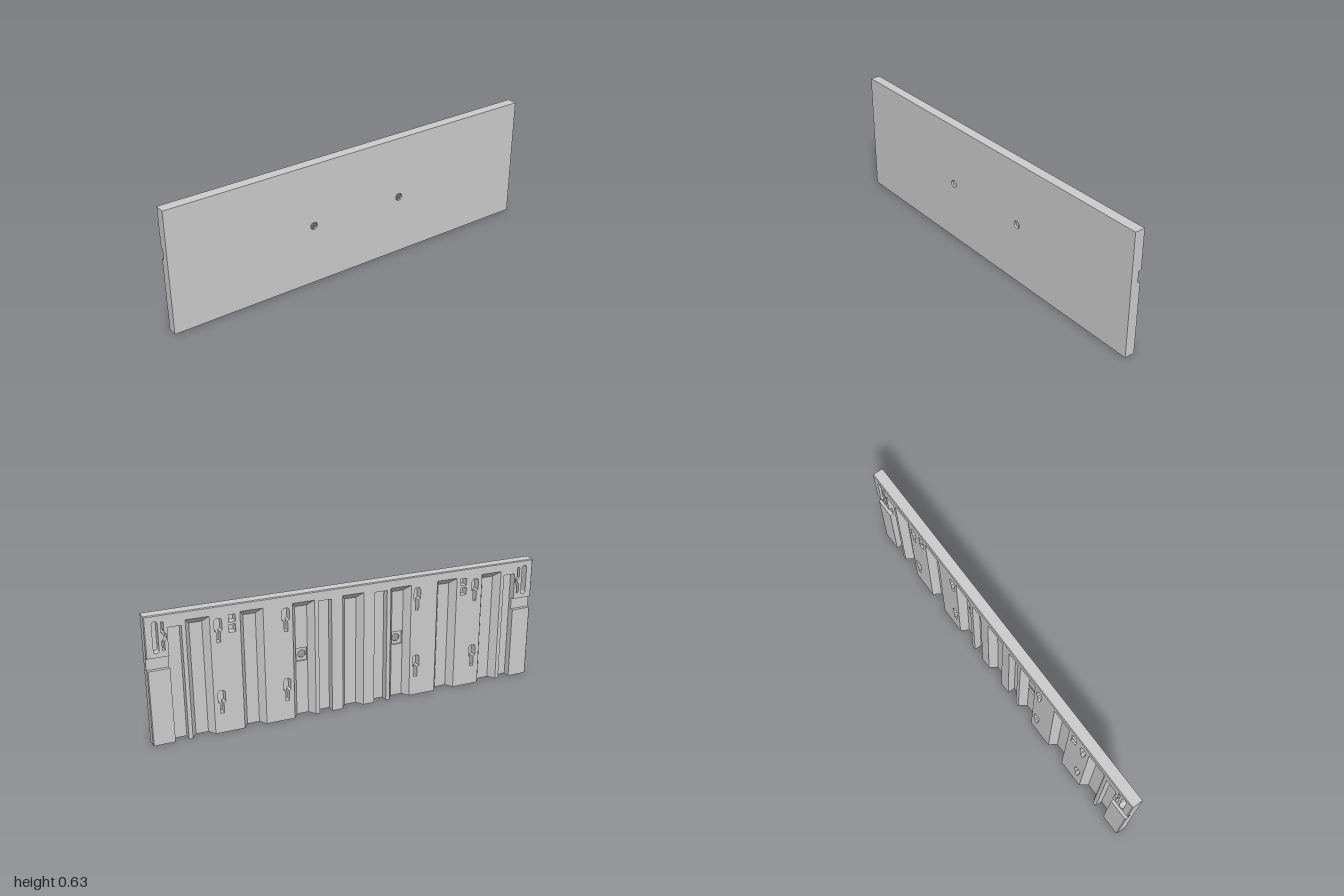
import * as THREE from 'three';

const H = 0.63, FRONT = 0.028, BACK = -0.028, FLOOR = 0.01, POCKET = 0.018;
const PITCH = 0.253, HALF = 0.055, CHANNEL_TOP = 0.588;
const NOTCH = [0.37, 0.43], PAD = 0.896;
const material = new THREE.MeshStandardMaterial({ color: 0xcccccc, flatShading: true });
const V = (x, y) => new THREE.Vector2(x, y);
const rect = (x0, y0, x1, y1) => [V(x0, y0), V(x1, y0), V(x1, y1), V(x0, y1)];
const mirror = pts => pts.map(p => V(-p.x, p.y)).reverse();

function shapeOf(outline, holes = []) {
  const s = new THREE.Shape(outline);
  s.holes = holes.map(h => new THREE.Path(h));
  return s;
}

// Flat layer between two depths, with an optional rule that moves its vertices
function layer(name, shapes, zBack, zFront, rule) {
  const g = new THREE.ExtrudeGeometry(shapes, { depth: zFront - zBack, bevelEnabled: false, curveSegments: 16 });
  g.translate(0, 0, zBack);
  if (rule) {
    const p = g.attributes.position, v = new THREE.Vector3();
    for (let i = 0; i < p.count; i++) {
      rule(v.fromBufferAttribute(p, i));
      p.setXYZ(i, v.x, v.y, v.z);
    }
    g.computeVertexNormals();
  }
  const m = new THREE.Mesh(g, material);
  m.name = name;
  return m;
}

// Slopes the channel walls inward with depth and chamfers the outer back edge
function shapeWalls(v) {
  const x = v.x, y = v.y, t = (v.z - BACK) / (FLOOR - BACK);
  const c = Math.round(x / PITCH) * PITCH;
  if (Math.abs(c) < 0.8 && Math.abs(Math.abs(x - c) - HALF) < 0.002) {
    v.x -= Math.sign(x - c) * 0.025 * t;
    if (Math.abs(y - CHANNEL_TOP) < 0.001) v.y -= 0.032 * t;
  }
  if (v.z < BACK + 0.001) {
    if (Math.abs(x) > 0.999) v.x -= Math.sign(x) * 0.004;
    if (y > H - 0.001) v.y -= 0.004;
  }
}

// Keyhole: wide head over a narrow tail
function keyhole(x, top) {
  return [V(x - 0.009, top - 0.115), V(x + 0.009, top - 0.115), V(x + 0.009, top - 0.065),
    V(x + 0.018, top - 0.058), V(x + 0.018, top - 0.008), V(x + 0.01, top),
    V(x - 0.01, top), V(x - 0.018, top - 0.008), V(x - 0.018, top - 0.058), V(x - 0.009, top - 0.065)];
}

// Vertical slot with round ends
function roundSlot(x, y0, y1, r) {
  const pts = [];
  for (let i = 0; i <= 8; i++) pts.push(V(x + r * Math.cos(Math.PI * i / 8), y1 - r + r * Math.sin(Math.PI * i / 8)));
  for (let i = 0; i <= 8; i++) pts.push(V(x - r * Math.cos(Math.PI * i / 8), y0 + r - r * Math.sin(Math.PI * i / 8)));
  return pts;
}

function circle(x, y, r) {
  return new THREE.Path().absarc(x, y, r, 0, Math.PI * 2).getPoints(12).slice(0, -1);
}

export function createModel() {
  const group = new THREE.Group();
  group.name = 'panel';

  // Front plate with two through holes, and square pockets behind them
  const plate = rect(-1, 0, 1, H);
  const sides = [-1, 1];
  group.add(layer('frontPlate', shapeOf(plate, sides.map(s => circle(s * 0.25, 0.31, 0.019))), POCKET, FRONT));
  group.add(layer('pocketPlate', shapeOf(plate,
    sides.map(s => rect(s * 0.253 - 0.027, 0.277, s * 0.253 + 0.027, 0.343))), FLOOR, POCKET));

  // Recesses open at the bottom: [centre, half width, top]
  const recesses = [[-0.145, 0.033, 0.58], [0.145, 0.033, 0.58]];
  for (let k = -3; k <= 3; k++) recesses.push([k * PITCH, HALF, CHANNEL_TOP]);
  recesses.sort((a, b) => a[0] - b[0]);

  // Comb outline of the ribbed back
  const inner = 0.833, endTop = 0.565;
  const outline = [V(-1, NOTCH[1]), V(-PAD, NOTCH[1]), V(-PAD, endTop), V(-inner, endTop), V(-inner, 0)];
  for (const [c, w, top] of recesses) outline.push(V(c - w, 0), V(c - w, top), V(c + w, top), V(c + w, 0));
  outline.push(V(inner, 0), V(inner, endTop), V(PAD, endTop), V(PAD, NOTCH[1]), V(1, NOTCH[1]), V(1, H), V(-1, H));

  // Blind holes of one half, mirrored to the other
  const half = [
    ...[0.342, 0.666].flatMap(x => [keyhole(x, 0.57), keyhole(x, 0.215)]),
    rect(0.584, 0.545, 0.616, 0.58),
    rect(0.584, 0.495, 0.616, 0.533),
    roundSlot(0.952, 0.45, 0.602, 0.013),
    [V(0.912, 0.595), V(0.912, 0.548), V(0.902, 0.535), V(0.902, 0.515), V(0.912, 0.5), V(0.912, 0.46),
      V(0.924, 0.46), V(0.924, 0.505), V(0.913, 0.52), V(0.913, 0.53), V(0.924, 0.543), V(0.924, 0.595)],
  ];
  const back = [
    shapeOf(outline, [...half, ...half.map(mirror)]),
    shapeOf(rect(PAD, 0, 1, NOTCH[0])),
    shapeOf(rect(-1, 0, -PAD, NOTCH[0])),
  ];
  group.add(layer('ribbedBack', back, BACK + 0.004, FLOOR, shapeWalls));
  group.add(layer('backRim', back, BACK, BACK + 0.004, shapeWalls));

  // Floors of the side notches
  for (const s of sides) {
    const x0 = s > 0 ? PAD : -1;
    group.add(layer(s > 0 ? 'leftNotchFloor' : 'rightNotchFloor',
      shapeOf(rect(x0, NOTCH[0], x0 + 1 - PAD, NOTCH[1])), -0.01, FLOOR));
  }
  return group;
}
